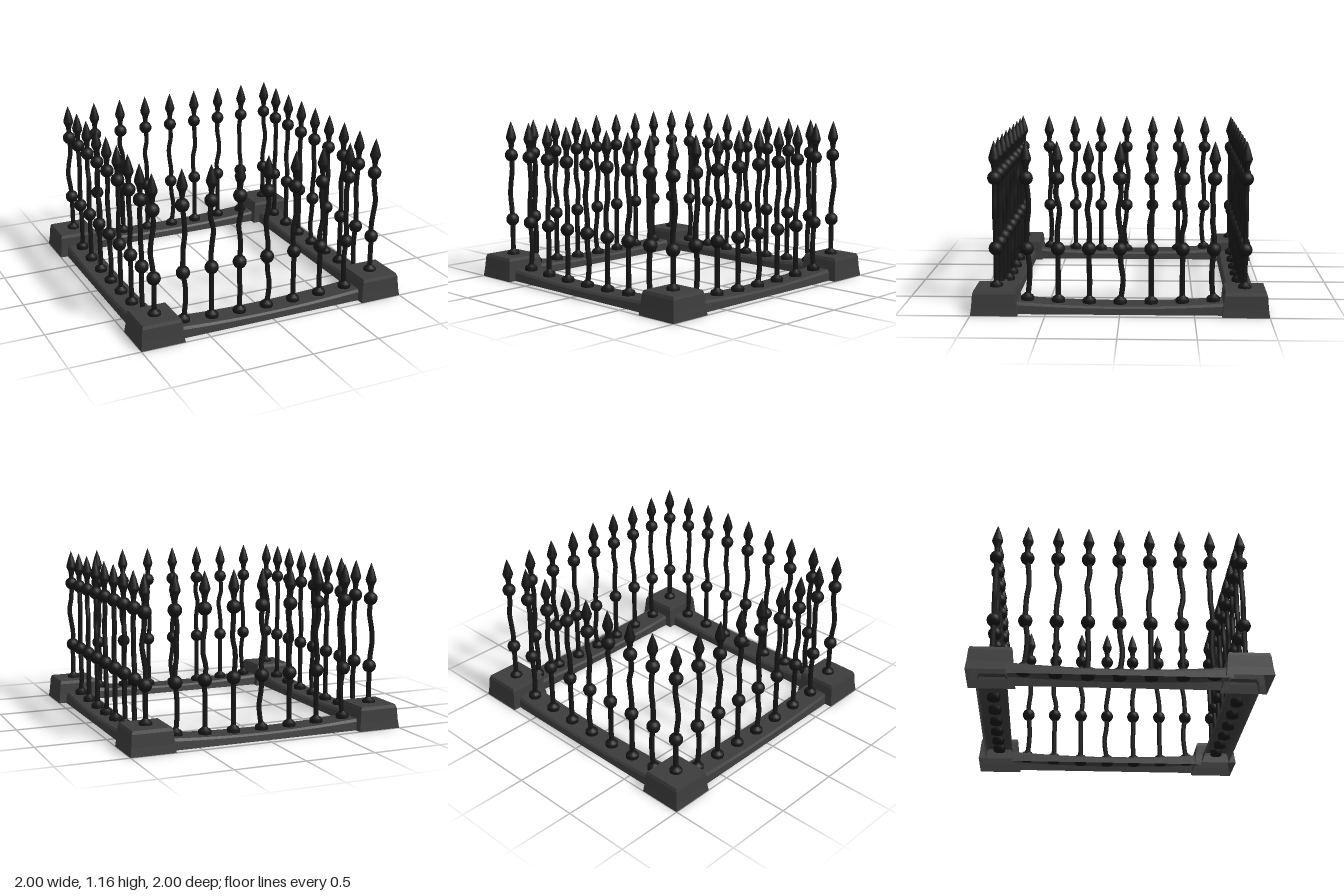
import * as THREE from 'three';

const stone = new THREE.MeshStandardMaterial({ color: 0x3c3c3c, flatShading: true, side: THREE.DoubleSide });
const iron = new THREE.MeshStandardMaterial({ color: 0x161616, side: THREE.DoubleSide });

const EDGE = 0.84; // distance of each fence line from the centre
const STEP = 0.21; // spacing of the bars
const BLOCK_TOP = 0.168;
const v2 = ([x, y]) => new THREE.Vector2(x, y);

// Sideways bends of the nine bars of a fence at the heights below
const BEND_Y = [0.13, 0.22, 0.32, 0.43, 0.52, 0.61, 0.7, 0.8, 0.91, 1.01];
const BENDS = [
  [0, 0, 0, 0, -0.008, -0.02, -0.012, 0.006, 0, 0],
  [0, 0.016, 0.016, 0, 0, 0.004, 0.016, 0.012, 0, 0],
  [0, 0, 0, 0, -0.004, 0.004, 0.014, -0.01, 0, 0],
  [0, 0.003, 0, 0, 0.004, 0.002, -0.01, 0.008, 0, 0],
  [0, 0.02, 0.006, 0, 0.006, -0.006, -0.013, 0.006, 0, 0],
  [0, 0, 0, 0, -0.01, -0.01, 0.008, 0.004, 0, 0],
  [0, 0, 0, 0, -0.008, 0.012, 0.012, -0.003, 0, 0],
  [0, -0.012, -0.01, 0, 0, -0.01, -0.008, -0.014, 0, 0],
  [0, 0, 0, 0, -0.004, 0.008, 0.02, 0.004, 0, 0],
];

const curbHeight = (x) => 0.053 + 0.027 * (x / 0.7) ** 2;

const ballGeo = new THREE.SphereGeometry(0.048, 14, 10);
const spearGeo = new THREE.LatheGeometry(
  [[0.018, 0.97], [0.022, 1.0], [0.036, 1.03], [0.038, 1.045], [0.021, 1.105], [0.001, 1.16]].map(v2), 12);
const collarGeo = new THREE.LatheGeometry(
  [[0, -0.035], [0.044, -0.035], [0.046, 0.022], [0.038, 0.033], [0.026, 0.038], [0.018, 0.05]].map(v2), 12);
const blockGeo = new THREE.LatheGeometry(
  [[0.158, 0], [0.15, 0.06], [0.143, 0.145], [0.135, BLOCK_TOP], [0, BLOCK_TOP]]
    .map(([half, y]) => new THREE.Vector2(half * Math.SQRT2, y)), 4).rotateY(Math.PI / 4);

function add(parent, name, geometry, material, x = 0, y = 0, z = 0) {
  const mesh = new THREE.Mesh(geometry, material);
  mesh.name = name;
  mesh.position.set(x, y, z);
  parent.add(mesh);
  return mesh;
}

// Hollow sagging curb: an open channel section swept along x
function curbGeometry() {
  const profile = [[0.105, 0], [0.098, 0.75], [0.086, 1], [-0.086, 1], [-0.098, 0.75], [-0.105, 0]];
  const stations = 16, n = profile.length, pos = [], idx = [];
  for (let i = 0; i <= stations; i++) {
    const x = -0.74 + (1.48 * i) / stations;
    for (const [z, k] of profile) pos.push(x, k * curbHeight(x), z);
  }
  for (let i = 0; i < stations; i++) {
    for (let j = 0; j < n - 1; j++) {
      const a = i * n + j, b = a + n;
      idx.push(a, b, a + 1, b, b + 1, a + 1);
    }
  }
  const g = new THREE.BufferGeometry();
  g.setAttribute('position', new THREE.Float32BufferAttribute(pos, 3));
  g.setIndex(idx);
  g.computeVertexNormals();
  return g;
}
const curbGeo = curbGeometry();

// One bent bar with collar, two balls and spear point
function makeBar(index, groundY) {
  const bar = new THREE.Group();
  bar.name = 'bar';
  const points = BEND_Y.map((y, i) => new THREE.Vector3(BENDS[index][i], i ? y : groundY, 0));
  const path = new THREE.CatmullRomCurve3(points);
  add(bar, 'shaft', new THREE.TubeGeometry(path, 30, 0.018, 8), iron);
  add(bar, 'collar', collarGeo, iron, 0, groundY, 0);
  add(bar, 'lowerBall', ballGeo, iron, 0, 0.43, 0);
  add(bar, 'upperBall', ballGeo, iron, 0, 0.91, 0);
  add(bar, 'spearPoint', spearGeo, iron);
  return bar;
}

// One side: curb plus its bars, with or without the two corner bars
function makeFence(name, withCorners) {
  const fence = new THREE.Group();
  fence.name = name;
  add(fence, 'curb', curbGeo, stone);
  for (let i = 0; i < 9; i++) {
    const corner = i === 0 || i === 8;
    if (corner && !withCorners) continue;
    const x = (i - 4) * STEP;
    const bar = makeBar(i, corner ? BLOCK_TOP - 0.01 : curbHeight(x));
    bar.position.x = x;
    fence.add(bar);
  }
  return fence;
}

export function createModel() {
  const model = new THREE.Group();
  model.name = 'ironFence';

  // Front and back share the same bends; the sides are turned copies
  for (const s of [1, -1]) {
    const long = makeFence(s > 0 ? 'frontFence' : 'backFence', true);
    long.position.z = s * EDGE;
    const side = makeFence(s > 0 ? 'leftFence' : 'rightFence', false);
    side.position.x = s * EDGE;
    side.rotation.y = (s * Math.PI) / 2;
    model.add(long, side);
    for (const t of [1, -1]) add(model, 'cornerBlock', blockGeo, stone, s * 0.842, 0, t * 0.842);
  }
  return model;
}
